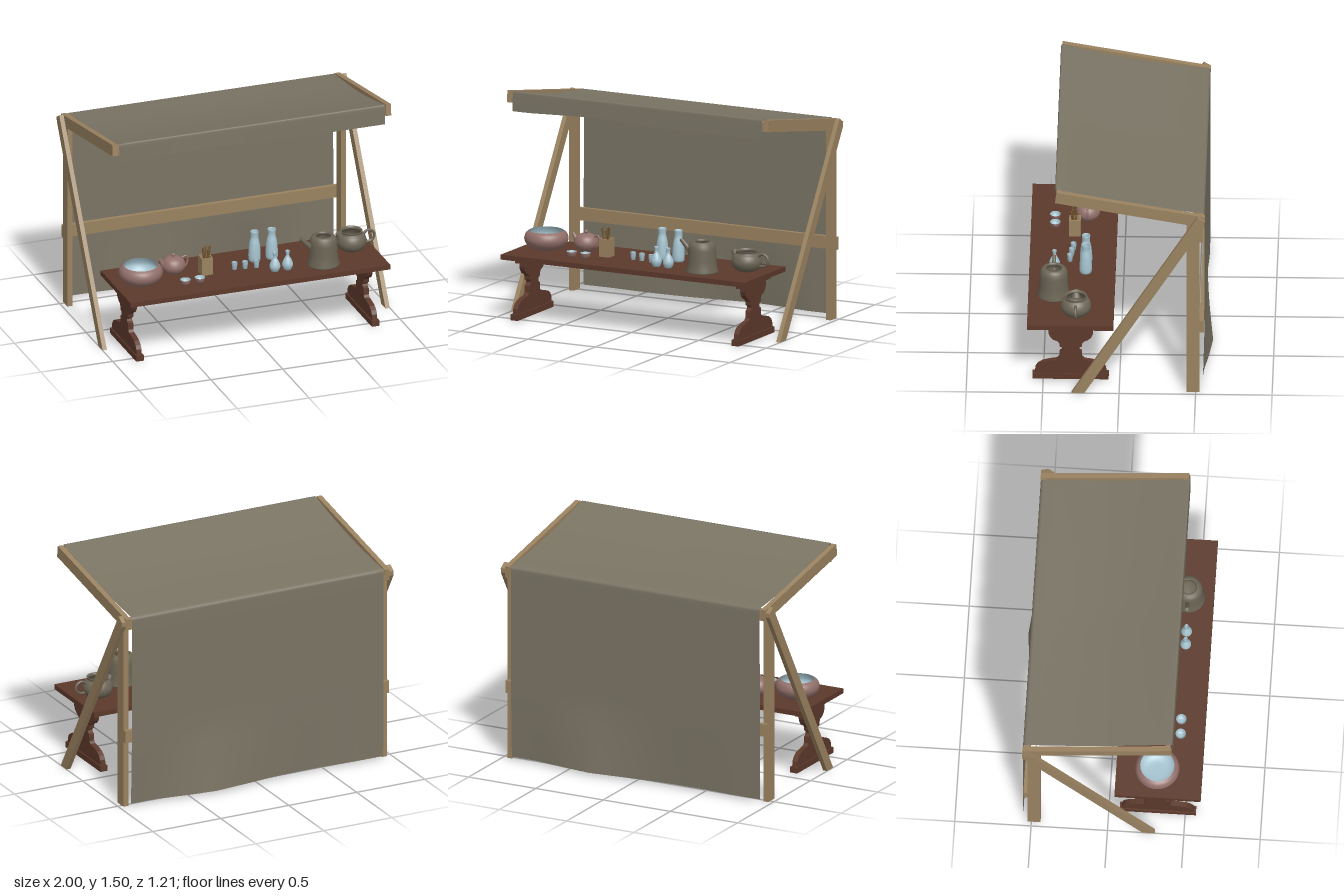
import * as THREE from 'three';

const mat = (name, color, side = THREE.FrontSide) => {
  const m = new THREE.MeshStandardMaterial({ color, side });
  m.name = name;
  return m;
};

export function createModel() {
  const root = new THREE.Group();
  root.name = 'potteryStall';
  const timber = mat('pale timber', 0x9a8260);
  const cloth = mat('canvas', 0x7a7464, THREE.DoubleSide);
  const dark = mat('dark wood', 0x5c392b);
  const clay = mat('pink clay', 0x916f69);
  const glaze = mat('pale blue glaze', 0xa6c4d0);
  const stone = mat('grey stoneware', 0x6c6556);
  const stick = mat('brown sticks', 0x74562f);

  const add = (name, geo, material, parent = root, x = 0, y = 0, z = 0) => {
    const m = new THREE.Mesh(geo, material);
    m.name = name;
    m.position.set(x, y, z);
    parent.add(m);
    return m;
  };
  // box given by its minimum and maximum on each axis
  const box = (name, material, x0, x1, y0, y1, z0, z1, parent = root) =>
    add(name, new THREE.BoxGeometry(x1 - x0, y1 - y0, z1 - z0), material, parent,
      (x0 + x1) / 2, (y0 + y1) / 2, (z0 + z1) / 2);
  // plate with a (z, y) outline, spanning x0..x1
  const plate = (name, material, outline, x0, x1, parent = root) => {
    const shape = new THREE.Shape(outline.map(([z, y]) => new THREE.Vector2(z, y)));
    const geo = new THREE.ExtrudeGeometry(shape, { depth: x1 - x0, bevelEnabled: false });
    geo.rotateY(-Math.PI / 2).translate(x1, 0, 0);
    return add(name, geo, material, parent);
  };
  const lathe = (pts, seg = 32) =>
    new THREE.LatheGeometry(pts.map(([r, y]) => new THREE.Vector2(r, y)), seg);
  // smooth lathe profile through a few points
  const turned = (pts, seg = 32, n = 20) => new THREE.LatheGeometry(
    new THREE.SplineCurve(pts.map(([r, y]) => new THREE.Vector2(r, y))).getPoints(n)
      .map(p => new THREE.Vector2(Math.max(p.x, 0), p.y)), seg);
  // tapered rod between two points
  const rod = (name, material, a, b, ra, rb, parent, open = false) => {
    const A = new THREE.Vector3(...a), B = new THREE.Vector3(...b);
    const m = add(name, new THREE.CylinderGeometry(rb, ra, A.distanceTo(B), 14, 1, open), material, parent);
    m.position.copy(A).add(B).multiplyScalar(0.5);
    m.quaternion.setFromUnitVectors(new THREE.Vector3(0, 1, 0), B.sub(A).normalize());
    return m;
  };
  const tube = (name, material, pts, r, parent) =>
    add(name, new THREE.TubeGeometry(new THREE.CatmullRomCurve3(pts.map(p => new THREE.Vector3(...p))),
      20, r, 8), material, parent);

  // Timber frame
  const frame = new THREE.Group();
  frame.name = 'frame';
  root.add(frame);
  for (const s of [-1, 1]) {
    const span = (a, b) => (s > 0 ? [a, b] : [-b, -a]);
    const [p0, p1] = span(0.935, 0.97), [b0, b1] = span(0.97, 1);
    box('post', timber, p0, p1, 0, 1.27, -0.525, -0.44, frame);
    plate('rafter', timber, [[0.42, 1.425], [0.41, 1.503], [-0.56, 1.328], [-0.555, 1.25]], p0, p1, frame);
    plate('brace', timber, [[0.31, 0], [0.228, 0], [-0.558, 1.28], [-0.56, 1.31], [-0.512, 1.34]], b0, b1, frame);
  }
  box('backRail', timber, -0.97, 0.97, 0.455, 0.54, -0.553, -0.525, frame);
  box('topBeam', timber, -0.935, 0.935, 1.25, 1.325, -0.553, -0.52, frame);
  box('frontBeam', timber, -0.935, 0.935, 1.42, 1.485, 0.375, 0.408, frame);

  // Canvas: one sheet from the back hem, over the roof, to the front flap
  const section = [];
  const line = (z0, y0, z1, y1, n) => {
    for (let i = 0; i < n; i++) section.push([z0 + (z1 - z0) * i / n, y0 + (y1 - y0) * i / n]);
  };
  line(-0.556, 0.02, -0.558, 1.3, 16);
  line(-0.558, 1.3, -0.556, 1.325, 2);
  line(-0.556, 1.325, -0.535, 1.336, 2);
  line(-0.535, 1.336, 0.405, 1.503, 14);
  line(0.405, 1.503, 0.417, 1.503, 2);
  line(0.417, 1.503, 0.42, 1.49, 2);
  line(0.42, 1.49, 0.424, 1.37, 5);
  section.push([0.424, 1.37]);
  const cols = 28;
  const sheet = new THREE.PlaneGeometry(1.85, 1, cols, section.length - 1);
  const pos = sheet.attributes.position;
  for (let i = 0; i < pos.count; i++) {
    const x = pos.getX(i);
    let [z, y] = section[Math.floor(i / (cols + 1))];
    if (z < -0.53 && y < 1.3) {
      const low = Math.max(0, 1 - y / 0.45);
      z -= low * (0.048 * Math.max(0, 1 - Math.abs(x - 0.32) / 0.42) - 0.012 * Math.max(0, Math.sin(x * 5 + 3.6)));
    } else if (y > 1.33 && z < 0.4) {
      const u = (z + 0.535) / 0.94;
      y -= 0.03 * Math.sin(Math.PI * u) * (1 - 0.3 * Math.abs(x));
    } else if (y < 1.48 && z > 0.4) {
      y += 0.02 * (1.49 - y) / 0.12 * Math.max(0, 1 - Math.abs(x + 0.3) / 0.5);
    }
    pos.setXYZ(i, x, y, z);
  }
  sheet.computeVertexNormals();
  add('canvas', sheet, cloth);

  // Trestle table
  const table = new THREE.Group();
  table.name = 'table';
  root.add(table);
  box('tableTop', dark, -0.915, 0.895, 0.413, 0.446, 0.04, 0.605, table);
  const half = [[0.235, 0.04], [0.23, 0.08], [0.215, 0.105], [0.185, 0.125], [0.14, 0.137], [0.09, 0.145],
    [0.075, 0.16], [0.072, 0.205], [0.056, 0.213], [0.05, 0.226], [0.056, 0.239], [0.072, 0.247],
    [0.074, 0.27], [0.085, 0.285], [0.115, 0.298], [0.135, 0.32], [0.145, 0.345], [0.145, 0.378]];
  const outline = [...half.map(([w, y]) => [0.32 + w, y]),
    ...half.slice().reverse().map(([w, y]) => [0.32 - w, y])];
  for (const x of [-0.835, 0.805]) {
    plate('trestle', dark, outline, x - 0.018, x + 0.018, table);
    box('foot', dark, x - 0.026, x + 0.026, 0.006, 0.045, 0.072, 0.57, table);
    box('trestleCap', dark, x - 0.026, x + 0.026, 0.376, 0.413, 0.13, 0.51, table);
  }

  // Wares, each standing on the table top
  const ware = (name, x, z) => {
    const g = new THREE.Group();
    g.name = name;
    g.position.set(x, 0.446, z);
    root.add(g);
    return g;
  };

  const basin = ware('basin', -0.735, 0.31);
  add('basinOutside', turned([[0, 0.003], [0.08, 0.004], [0.125, 0.03], [0.145, 0.07], [0.135, 0.108], [0.112, 0.126]], 40), clay, basin);
  add('basinInside', turned([[0.112, 0.126], [0.125, 0.1], [0.13, 0.07], [0.11, 0.035], [0.07, 0.015], [0, 0.012]], 40), glaze, basin);

  const teapot = ware('teapot', -0.48, 0.235);
  add('teapotBody', turned([[0, 0.003], [0.045, 0.004], [0.072, 0.03], [0.08, 0.06], [0.066, 0.095], [0.035, 0.115], [0, 0.119]]), clay, teapot);
  add('teapotKnob', new THREE.SphereGeometry(0.013, 14, 10), clay, teapot, 0, 0.128, 0);
  rod('teapotSpout', clay, [-0.06, 0.05, 0], [-0.097, 0.112, 0], 0.022, 0.009, teapot);
  tube('teapotHandle', clay, [[0.06, 0.1, 0], [0.088, 0.108, 0], [0.098, 0.08, 0], [0.09, 0.045, 0], [0.07, 0.03, 0]], 0.007, teapot);

  for (const [x, z] of [[-0.473, 0.447], [-0.372, 0.445]]) {
    const cup = ware('teaCup', x, z);
    add('cupOutside', turned([[0, 0], [0.018, 0.001], [0.03, 0.016], [0.035, 0.038]], 24, 10), clay, cup);
    add('cupInside', turned([[0.035, 0.038], [0.028, 0.018], [0.015, 0.007], [0, 0.006]], 24, 10), glaze, cup);
  }

  // Square holder with sticks
  const holder = ware('utensilHolder', -0.285, 0.315);
  for (const s of [-1, 1]) {
    box('holderSide', timber, s * 0.034 - 0.004, s * 0.034 + 0.004, 0, 0.12, -0.038, 0.038, holder);
    box('holderFace', timber, -0.034, 0.034, 0, 0.12, s * 0.034 - 0.004, s * 0.034 + 0.004, holder);
  }
  box('holderBase', timber, -0.032, 0.032, 0, 0.01, -0.032, 0.032, holder);
  for (const [x, z, h] of [[-0.024, 0.015, 0.19], [0.002, -0.01, 0.185], [0.026, 0.012, 0.195], [0.01, 0.024, 0.175]])
    rod('utensil', stick, [x * 0.3, 0.012, z * 0.3], [x, h, z], 0.004, 0.007, holder);

  for (const [x, z] of [[-0.085, 0.32], [-0.015, 0.33], [0.06, 0.34]])
    add('smallCup', lathe([[0, 0], [0.015, 0], [0.02, 0.05], [0.017, 0.05], [0.013, 0.006], [0, 0.006]], 20), glaze, ware('blueCup', x, z));

  for (const x of [0.085, 0.205])
    add('tallVaseBody', turned([[0, 0], [0.034, 0.001], [0.041, 0.04], [0.035, 0.12], [0.025, 0.17], [0.028, 0.208], [0.023, 0.206], [0.02, 0.17], [0.028, 0.1], [0, 0.02]], 28, 36), glaze, ware('tallVase', x, 0.235));

  for (const x of [0.152, 0.24])
    add('budVaseBody', turned([[0, 0], [0.022, 0.001], [0.036, 0.035], [0.026, 0.07], [0.011, 0.1], [0.015, 0.13], [0.012, 0.129], [0.007, 0.1], [0, 0.09]], 28, 32), glaze, ware('budVase', x, 0.44));

  // Tall spouted can, open at the top
  const can = ware('spoutedCan', 0.49, 0.438);
  add('canBody', lathe([[0, 0], [0.104, 0], [0.108, 0.008], [0.1, 0.025], [0.094, 0.08], [0.092, 0.15], [0.088, 0.18],
    [0.076, 0.198], [0.06, 0.206], [0.05, 0.204], [0.048, 0.19], [0.08, 0.16], [0.085, 0.03], [0, 0.015]], 40), stone, can);
  const spout = rod('canSpout', stone, [-0.085, 0.13, 0], [-0.158, 0.203, 0], 0.02, 0.013, can);
  spout.scale.z = 0.8;

  // Round jug with a side handle
  const jug = ware('jug', 0.74, 0.288);
  add('jugBody', turned([[0, 0.003], [0.05, 0.004], [0.085, 0.025], [0.101, 0.065], [0.09, 0.105], [0.07, 0.125], [0.074, 0.14],
    [0.066, 0.139], [0.062, 0.124], [0.08, 0.1], [0.09, 0.06], [0.06, 0.02], [0, 0.015]], 36, 48), stone, jug);
  rod('jugSpout', stone, [-0.068, 0.085, 0], [-0.092, 0.135, 0], 0.03, 0.02, jug);
  tube('jugHandle', stone, [[0.078, 0.1, 0], [0.115, 0.125, 0], [0.15, 0.11, 0], [0.16, 0.08, 0], [0.14, 0.05, 0], [0.095, 0.042, 0]], 0.009, jug);

  return root;
}
